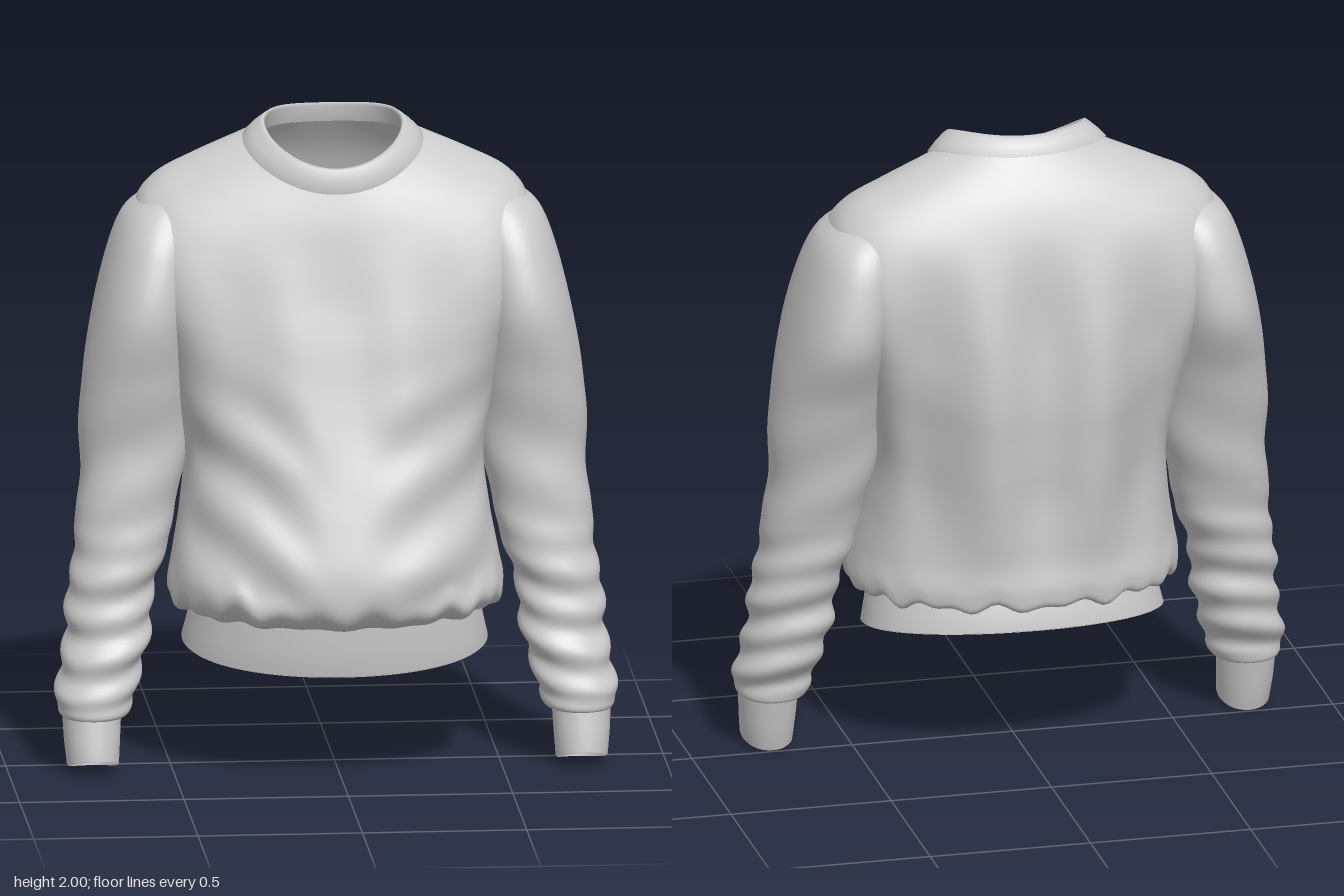
import * as THREE from 'three';

const material = new THREE.MeshStandardMaterial({ color: 0xcccccc, side: THREE.DoubleSide });
const smooth = (a, b, v) => THREE.MathUtils.smoothstep(v, a, b);

// Smooth interpolation of one list of numbers between four neighbouring rings
function blend(rings, t) {
  const i = Math.min(Math.floor(t), rings.length - 2), f = t - i;
  const at = k => rings[THREE.MathUtils.clamp(k, 0, rings.length - 1)];
  const [a, b, c, d] = [at(i - 1), at(i), at(i + 1), at(i + 2)];
  return b.map((v, k) => {
    const m0 = (c[k] - a[k]) / 2, m1 = (d[k] - v) / 2, e = c[k] - v;
    return v + f * (m0 + f * (3 * e - 2 * m0 - m1 + f * (m0 + m1 - 2 * e)));
  });
}

// Skin over rings [xInner, xOuter, zFront, zBack, yFront, ySide, yBack, squareness]
function loft(name, rings, { steps = 1, segs = 96, side = 1, fold = null } = {}) {
  const pos = [], index = [], rows = (rings.length - 1) * steps;
  for (let i = 0; i <= rows; i++) {
    const [xa, xb, zf, zb, yf, ys, yb, n] = blend(rings, i / steps);
    const cx = (xa + xb) / 2, cz = (zf + zb) / 2;
    for (let j = 0; j < segs; j++) {
      const a = j / segs * Math.PI * 2;
      const power = v => Math.sign(v) * Math.abs(v) ** (2 / n);
      const c = power(Math.cos(a)), s = power(Math.sin(a));
      const p = new THREE.Vector3(
        cx + c * (xb - xa) / 2,
        ys + s * (yf - yb) / 2 + s * s * ((yf + yb) / 2 - ys),
        cz + s * (zf - zb) / 2);
      if (fold) fold(p, c, s, a, cx, cz);
      pos.push(p.x * side, p.y, p.z);
    }
  }
  for (let i = 0; i < rows; i++) for (let j = 0; j < segs; j++) {
    const k = (j + 1) % segs, a = i * segs + j, b = i * segs + k, c = a + segs, d = b + segs;
    if (side > 0) index.push(a, b, c, b, d, c);
    else index.push(a, c, b, b, c, d);
  }
  const g = new THREE.BufferGeometry();
  g.setAttribute('position', new THREE.Float32BufferAttribute(pos, 3));
  g.setIndex(index);
  g.computeVertexNormals();
  const mesh = new THREE.Mesh(g, material);
  mesh.name = name;
  return mesh;
}

const centred = rings => rings.map(([hw, ...rest]) => [-hw, hw, ...rest]);

// Long pleats down the back, diagonal drapes in front, gathers above the hem
function torsoFolds(p, c, s, a) {
  const x = p.x, y = p.y;
  if (s < 0) {
    const w = smooth(0.55, 0.95, y) * (1 - smooth(1.35, 1.75, y)) * smooth(0.3, 0.8, -s);
    p.z += 0.03 * w * (1 + Math.cos(x * Math.PI * 2 / 0.34));
  } else {
    const w = smooth(0.5, 0.62, y) * (1 - smooth(0.95, 1.35, y)) * smooth(0.1, 0.5, s);
    const drape = Math.sin((y - 0.55 * Math.abs(x)) * 24 + 1.2 * Math.sin(x * 4));
    p.z += w * 0.016 * (drape - 0.4) * smooth(0.05, 0.25, Math.abs(x));
    const chest = smooth(0.9, 1.1, y) * (1 - smooth(1.4, 1.7, y)) * s;
    p.z += chest * 0.01 * Math.cos(x * 19 + y * 2);
  }
  const gather = smooth(0.47, 0.53, y) * (1 - smooth(0.56, 0.68, y));
  p.y += gather * 0.009 * (Math.sin(a * 23) + Math.sin(a * 14 + 1));
}

// Crumpled rolls that tighten toward the wrist
function sleeveFolds(p, c, s, a, cx, cz) {
  const low = 1 - smooth(0.4, 0.85, p.y), mid = 1 - smooth(0.8, 1.3, p.y);
  const ends = smooth(0.17, 0.24, p.y);
  const k = 1 + ends * (0.065 * low * Math.sin(p.y * 52 + 2.2 * Math.sin(a + 0.6))
    + 0.035 * mid * Math.sin(p.y * 23 + 2 * Math.cos(a)) - 0.02 * mid);
  p.x = cx + (p.x - cx) * k;
  p.z = cz + (p.z - cz) * k;
}

export function createModel() {
  const sweater = new THREE.Group();
  sweater.name = 'sweater';

  // Body, from the neck seam over the shoulders to the tuck above the waistband
  sweater.add(loft('body', centred([
    [0.27, 0.135, -0.245, 1.79, 1.92, 1.95, 2.0],
    [0.42, 0.165, -0.33, 1.70, 1.86, 1.82, 2.3],
    [0.54, 0.195, -0.39, 1.58, 1.80, 1.66, 2.6],
    [0.60, 0.225, -0.43, 1.46, 1.71, 1.50, 2.6],
    [0.60, 0.26, -0.455, 1.34, 1.54, 1.36, 2.4],
    [0.54, 0.295, -0.465, 1.20, 1.35, 1.20, 2.3],
    [0.49, 0.33, -0.46, 1.08, 1.15, 1.08, 2.2],
    [0.455, 0.37, -0.45, 0.95, 0.97, 0.95, 2.2],
    [0.47, 0.42, -0.43, 0.80, 0.80, 0.80, 2.1],
    [0.495, 0.46, -0.41, 0.66, 0.66, 0.68, 2.1],
    [0.51, 0.46, -0.41, 0.56, 0.56, 0.59, 2.1],
    [0.49, 0.41, -0.39, 0.50, 0.52, 0.54, 2.1],
    [0.44, 0.35, -0.30, 0.485, 0.52, 0.545, 2.1],
  ]), { steps: 8, segs: 144, fold: torsoFolds }));

  // Ribbed collar with a turned rim
  sweater.add(loft('collar', centred([
    [0.235, 0.115, -0.205, 1.79, 1.91, 1.94, 2.0],
    [0.205, 0.105, -0.19, 1.855, 1.97, 1.99, 2.0],
    [0.213, 0.118, -0.198, 1.865, 1.98, 2.0, 2.0],
    [0.225, 0.126, -0.21, 1.86, 1.972, 1.992, 2.0],
    [0.25, 0.134, -0.23, 1.83, 1.95, 1.975, 2.0],
    [0.275, 0.14, -0.248, 1.79, 1.923, 1.95, 2.0],
    [0.268, 0.13, -0.242, 1.785, 1.915, 1.943, 2.0],
  ])));

  // Waistband, dipping toward the front
  sweater.add(loft('waistband', centred([
    [0.44, 0.35, -0.29, 0.49, 0.525, 0.55, 2.1],
    [0.45, 0.345, -0.305, 0.41, 0.455, 0.50, 2.1],
    [0.465, 0.335, -0.32, 0.335, 0.39, 0.443, 2.1],
    [0.459, 0.328, -0.314, 0.33, 0.385, 0.438, 2.1],
    [0.44, 0.33, -0.295, 0.41, 0.455, 0.50, 2.1],
    [0.43, 0.335, -0.28, 0.49, 0.525, 0.55, 2.1],
  ])));

  // Sleeves and cuffs, mirrored
  for (const [label, side] of [['left', 1], ['right', -1]]) {
    const level = ([xa, xb, zf, zb, y]) => [xa, xb, zf, zb, y, y, y, 2.2];
    sweater.add(loft(label + 'Sleeve', [
      [0.42, 0.57, 0.02, -0.24, 1.75],
      [0.40, 0.635, 0.08, -0.31, 1.69],
      [0.41, 0.68, 0.14, -0.355, 1.58],
      [0.43, 0.725, 0.18, -0.37, 1.40],
      [0.44, 0.76, 0.145, -0.29, 1.20],
      [0.445, 0.775, 0.11, -0.235, 1.00],
      [0.465, 0.775, 0.115, -0.20, 0.85],
      [0.505, 0.795, 0.13, -0.17, 0.70],
      [0.545, 0.81, 0.14, -0.14, 0.55],
      [0.57, 0.83, 0.16, -0.115, 0.40],
      [0.595, 0.845, 0.18, -0.085, 0.28],
      [0.62, 0.85, 0.19, -0.06, 0.205],
      [0.64, 0.84, 0.185, -0.05, 0.175],
      [0.67, 0.82, 0.165, -0.025, 0.17],
    ].map(level), { steps: 10, segs: 64, side, fold: sleeveFolds }));

    sweater.add(loft(label + 'Cuff', [
      [0.655, 0.835, 0.175, -0.035, 0.20, 0.19, 0.18, 2.1],
      [0.66, 0.83, 0.19, -0.015, 0.12, 0.10, 0.08, 2.1],
      [0.665, 0.822, 0.205, 0.005, 0.055, 0.025, 0.005, 2.1],
      [0.671, 0.816, 0.199, 0.011, 0.05, 0.02, 0.0, 2.1],
      [0.672, 0.818, 0.178, -0.003, 0.12, 0.10, 0.08, 2.1],
      [0.667, 0.823, 0.163, -0.023, 0.20, 0.19, 0.18, 2.1],
    ], { segs: 48, side }));
  }
  return sweater;
}
